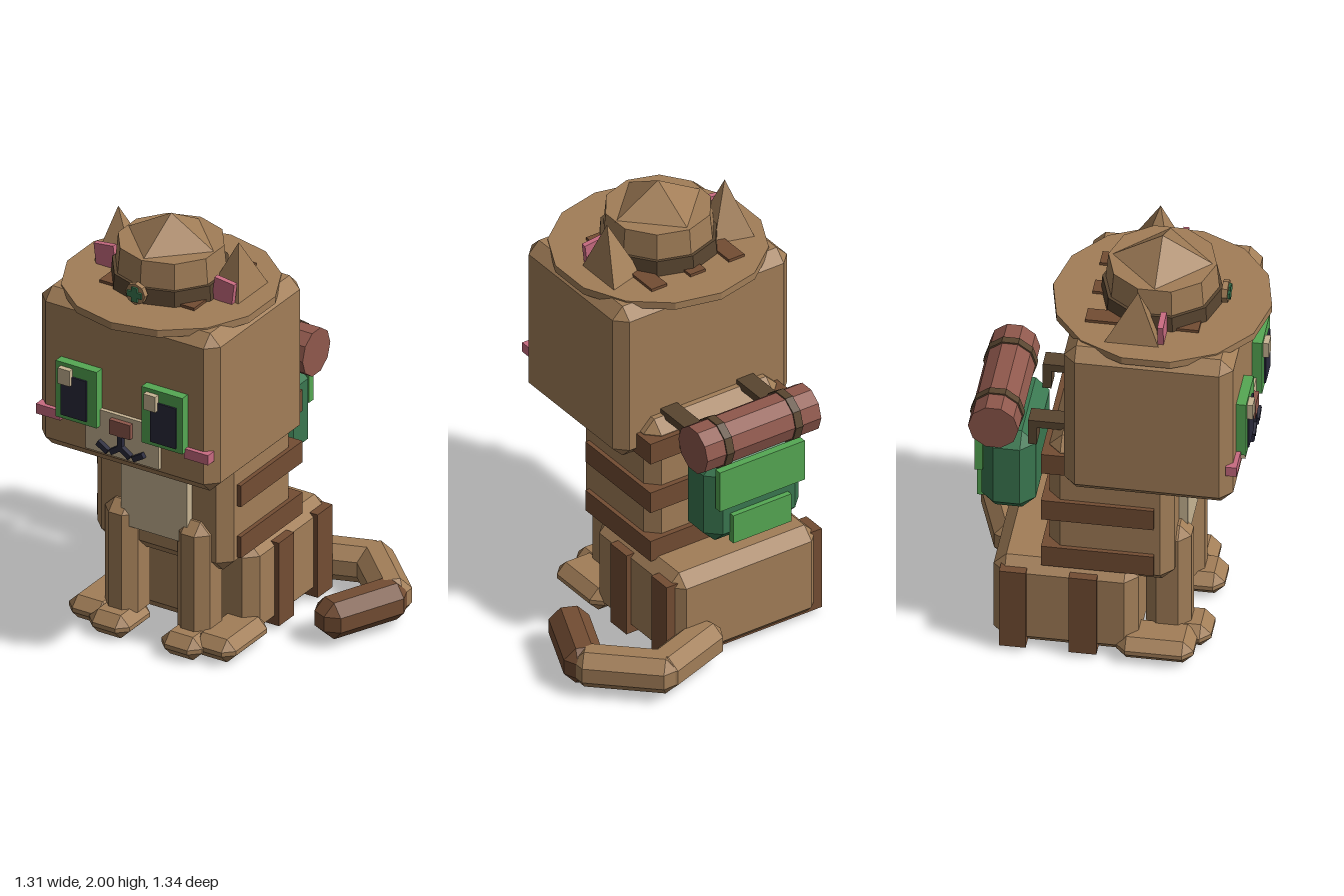
import * as THREE from 'three';
import { ConvexGeometry } from 'three/addons/geometries/ConvexGeometry.js';

const mat = (name, color) => {
  const m = new THREE.MeshStandardMaterial({ color, flatShading: true });
  m.name = name;
  return m;
};

export function createModel() {
  const fur = mat('tan fur', 0xa27e58), cream = mat('cream', 0xc8b594);
  const stripe = mat('stripe brown', 0x734d33), dark = mat('dark brown strap', 0x594530);
  const pink = mat('pink', 0xc96b81), ink = mat('ink', 0x29293c);
  const green = mat('bright green', 0x55a853), forest = mat('dark green', 0x3a7750);
  const rust = mat('rust', 0x8f584c);

  const model = new THREE.Group();
  model.name = 'travellingCat';
  // everything but the tail is symmetric about this group's x = 0
  const cat = new THREE.Group();
  cat.name = 'cat';
  cat.position.x = -0.19;
  model.add(cat);

  const add = (name, geo, m, x = 0, y = 0, z = 0, parent = cat) => {
    const mesh = new THREE.Mesh(geo, m);
    mesh.name = name;
    mesh.position.set(x, y, z);
    parent.add(mesh);
    return mesh;
  };

  // box with every edge and corner cut by c
  const chamferBox = (w, h, d, c) => {
    const pts = [];
    for (const sx of [-1, 1]) for (const sy of [-1, 1]) for (const sz of [-1, 1]) {
      const x = w / 2, y = h / 2, z = d / 2;
      pts.push(new THREE.Vector3(sx * x, sy * (y - c), sz * (z - c)),
        new THREE.Vector3(sx * (x - c), sy * y, sz * (z - c)),
        new THREE.Vector3(sx * (x - c), sy * (y - c), sz * z));
    }
    return new ConvexGeometry(pts);
  };
  // blocks given by centre x, width, and y and z ranges
  const block = (name, m, x, w, y0, y1, z0, z1, c = 0) => add(name,
    c ? chamferBox(w, y1 - y0, z1 - z0, c) : new THREE.BoxGeometry(w, y1 - y0, z1 - z0),
    m, x, (y0 + y1) / 2, (z0 + z1) / 2);

  // head, torso and haunches
  block('head', fur, 0, 0.905, 0.915, 1.675, -0.17, 0.56, 0.053);
  block('torso', fur, 0, 0.69, 0.38, 1.1, -0.25, 0.29, 0.055);
  block('haunches', fur, 0, 0.76, 0.01, 0.457, -0.485, 0.14, 0.055);
  block('chestPatch', cream, 0, 0.335, 0.51, 0.97, 0.27, 0.327);

  // body stripes
  for (const y of [0.445, 0.692, 0.94]) block('torsoStripe', stripe, 0, 0.73, y, y + 0.102, -0.275, 0.21);
  for (const [z0, z1] of [[-0.15, -0.03], [-0.45, -0.335]])
    block('haunchStripe', stripe, 0, 0.805, 0.02, 0.42, z0, z1);

  // stripes on top of the head
  block('headStripe', stripe, 0, 0.08, 1.66, 1.695, -0.105, 0.1);

  for (const s of [-1, 1]) {
    // legs and paws
    block('frontLeg', fur, s * 0.183, 0.166, 0.04, 0.615, 0.155, 0.35, 0.05);
    block('frontPaw', fur, s * 0.183, 0.205, 0, 0.11, 0.19, 0.44, 0.045);
    block('hindPaw', fur, s * 0.315, 0.215, 0.005, 0.115, 0.05, 0.385, 0.045);
    block('headStripe', stripe, s * 0.2, 0.08, 1.66, 1.695, -0.105, 0.385);

    // ears: pyramids with the tip leaning back from the inner corner
    const V = (x, y, z) => new THREE.Vector3(s * x, y, z);
    add('ear', new ConvexGeometry([
      V(0.37, 1.66, 0.24), V(0.37, 1.66, -0.015), V(0.18, 1.66, 0.04), V(0.18, 1.66, 0.2),
      V(0.305, 1.92, 0.135)]), fur);
    add('innerEar', new THREE.BoxGeometry(0.1, 0.105, 0.025), pink, s * 0.3, 1.732, 0.238)
      .rotation.z = -s * 0.12;

    // eyes
    block('eye', green, s * 0.217, 0.207, 1.11, 1.38, 0.54, 0.603);
    block('pupil', ink, s * 0.226, 0.128, 1.13, 1.325, 0.55, 0.611);
    // highlights sit on the same side of both eyes
    block('eyeHighlight', cream, s * 0.217 - 0.048, 0.06, 1.287, 1.362, 0.56, 0.628);

    block('cheek', pink, s * 0.375, 0.122, 1.08, 1.127, 0.532, 0.58);

    // mouth curves
    const inner = add('mouthInner', new THREE.BoxGeometry(0.06, 0.025, 0.03), ink, s * 0.024, 1.028, 0.585);
    inner.rotation.z = -s * 0.6;
    const outer = add('mouthOuter', new THREE.BoxGeometry(0.06, 0.025, 0.03), ink, s * 0.09, 1.024, 0.585);
    outer.rotation.z = s * 0.55;
  }

  // muzzle, nose and lip
  block('muzzle', cream, 0, 0.37, 0.985, 1.19, 0.54, 0.578);
  block('nose', rust, 0, 0.105, 1.1, 1.17, 0.55, 0.6);
  block('lip', ink, 0, 0.022, 1.035, 1.1, 0.57, 0.6);

  // hat
  const hat = new THREE.Group();
  hat.name = 'hat';
  hat.position.z = 0.192;
  cat.add(hat);
  add('hatBrim', new THREE.CylinderGeometry(0.472, 0.472, 0.034, 14), fur, 0, 1.665, 0, hat);
  add('hatCrown', new THREE.CylinderGeometry(0.234, 0.253, 0.2, 10), fur, 0, 1.775, 0, hat);
  add('hatBand', new THREE.CylinderGeometry(0.26, 0.265, 0.072, 10), dark, 0, 1.719, 0, hat);
  add('hatPeak', new THREE.ConeGeometry(0.224, 0.13, 4), fur, 0, 1.935, 0, hat);
  add('badge', new THREE.CylinderGeometry(0.05, 0.05, 0.025, 8), fur, 0, 1.735, 0.273, hat)
    .rotation.x = Math.PI / 2;
  add('badgeBarWide', new THREE.BoxGeometry(0.072, 0.027, 0.02), forest, 0, 1.735, 0.285, hat);
  add('badgeBarTall', new THREE.BoxGeometry(0.03, 0.068, 0.02), forest, 0, 1.735, 0.285, hat);

  // backpack with flaps, straps and a bedroll
  block('backpack', forest, 0, 0.495, 0.61, 1.02, -0.56, -0.325, 0.06);
  block('upperFlap', green, 0, 0.44, 0.812, 1.01, -0.585, -0.55);
  block('lowerPocket', green, 0, 0.3, 0.625, 0.765, -0.585, -0.55);
  const roll = (name, r, len, m, x) =>
    add(name, new THREE.CylinderGeometry(r, r, len, 10), m, x, 1.105, -0.492).rotation.z = Math.PI / 2;
  roll('bedroll', 0.109, 0.59, rust, 0);
  for (const s of [-1, 1]) {
    roll('bedrollStrap', 0.116, 0.038, dark, s * 0.178);
    block('shoulderStrap', dark, s * 0.197, 0.086, 1.085, 1.122, -0.35, -0.1);
    block('shoulderStrapDrop', dark, s * 0.197, 0.086, 0.995, 1.122, -0.35, -0.313);
  }

  // tail: chamfered segments laid end to end in x and z
  const tail = new THREE.Group();
  tail.name = 'tail';
  model.add(tail);
  for (const [name, m, x0, z0, x1, z1] of [
    ['tailBase', fur, -0.02, -0.465, 0.385, -0.605],
    ['tailMiddle', fur, 0.28, -0.64, 0.61, -0.325],
    ['tailTip', stripe, 0.597, -0.405, 0.428, -0.012]]) {
    const seg = add(name, chamferBox(0.176, 0.174, Math.hypot(x1 - x0, z1 - z0), 0.052), m,
      (x0 + x1) / 2, 0.115, (z0 + z1) / 2, tail);
    seg.rotation.y = Math.atan2(x1 - x0, z1 - z0);
  }
  return model;
}
